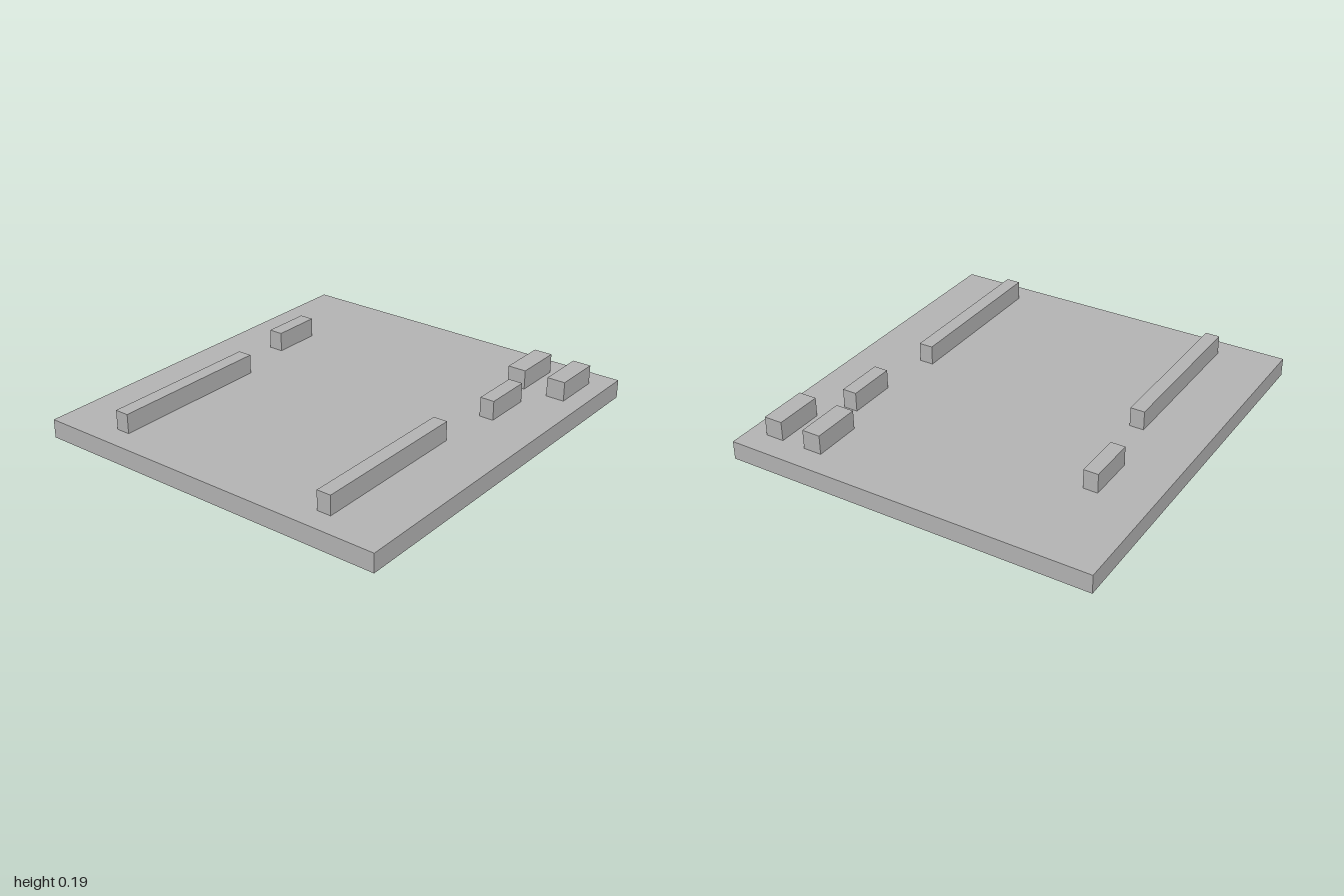
import * as THREE from 'three';

const PLATE_HEIGHT = 0.093;
const BLOCK_HEIGHT = 0.097;

export function createModel() {
  const model = new THREE.Group();
  model.name = 'plateWithRails';

  const grey = new THREE.MeshStandardMaterial({ color: 0xb2b2b2 });
  grey.name = 'grey';

  // Box standing on height y, given by its x and z extents
  function addBlock(name, x0, x1, z0, z1, y, height) {
    const mesh = new THREE.Mesh(new THREE.BoxGeometry(x1 - x0, height, z1 - z0), grey);
    mesh.name = name;
    mesh.position.set((x0 + x1) / 2, y + height / 2, (z0 + z1) / 2);
    model.add(mesh);
  }

  // Flat base
  addBlock('basePlate', -0.93, 0.93, -1, 1, 0, PLATE_HEIGHT);

  // Raised blocks: name, x extents, z extents
  const blocks = [
    ['leftLongRail', 0.55, 0.622, 0.05, 0.885],
    ['rightLongRail', -0.625, -0.553, 0.05, 0.885],
    ['leftShortRail', 0.605, 0.678, -0.5, -0.25],
    ['rightShortRail', -0.682, -0.609, -0.5, -0.25],
    ['rearInnerBlock', 0.523, 0.617, -0.877, -0.628],
    ['rearOuterBlock', 0.74, 0.834, -0.877, -0.628],
  ];
  for (const [name, x0, x1, z0, z1] of blocks) {
    addBlock(name, x0, x1, z0, z1, PLATE_HEIGHT, BLOCK_HEIGHT);
  }

  return model;
}
